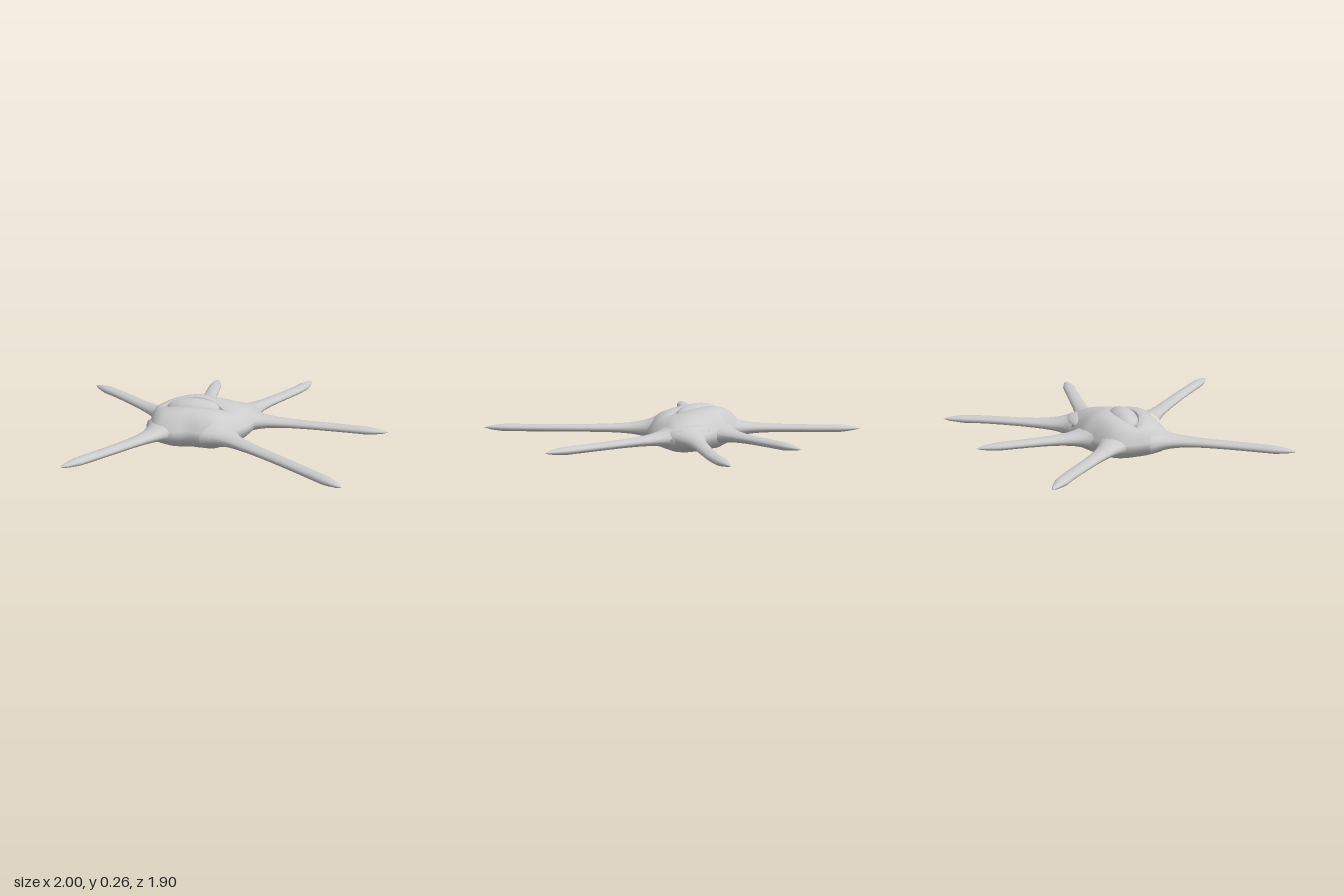
import * as THREE from 'three';

const V = (x, y, z) => new THREE.Vector3(x, y, z);
const material = new THREE.MeshStandardMaterial({ color: 0xcccccc });

// Skin a list of closed rings (equal point counts) into one smooth surface
function loft(rings) {
  const n = rings[0].length, index = [];
  for (let i = 0; i < rings.length - 1; i++) {
    for (let j = 0; j < n; j++) {
      const a = i * n + j, b = i * n + (j + 1) % n;
      index.push(a, a + n, b, b, a + n, b + n);
    }
  }
  const geometry = new THREE.BufferGeometry().setFromPoints(rings.flat());
  geometry.setIndex(index);
  geometry.computeVertexNormals();
  return geometry;
}

function addMesh(group, name, geometry) {
  const mesh = new THREE.Mesh(geometry, material);
  mesh.name = name;
  group.add(mesh);
  return mesh;
}

// Flattened dome whose top closes in on an almond-shaped eye opening
function bodyGeometry() {
  const outline = new THREE.CatmullRomCurve3([
    [0.18, 0], [0.15, 0.1], [0.07, 0.22], [0, 0.3], [-0.1, 0.3], [-0.2, 0.285], [-0.3, 0.3],
    [-0.4, 0.28], [-0.45, 0.2], [-0.47, 0.08], [-0.47, -0.05], [-0.42, -0.13], [-0.35, -0.17],
    [-0.27, -0.21], [-0.2, -0.25], [-0.12, -0.25], [-0.04, -0.25], [0.05, -0.26], [0.15, -0.24],
    [0.2, -0.17], [0.19, -0.06],
  ].map(([x, z]) => V(x, 0.1, z)), true);
  const edge = outline.getPoints(84).slice(0, 84);

  // underside: scale of the outline and height
  const rings = [[0, 0.005], [0.45, 0.003], [0.72, 0.012], [0.86, 0.035], [0.95, 0.065]].map(([s, y]) =>
    edge.map(p => V(-0.14 + (p.x + 0.14) * s, y, 0.03 + (p.z - 0.03) * s)));

  // eyelid rim, pointed at both corners and raised along the back
  const rim = edge.map(p => {
    const a = Math.atan2(p.z - 0.06, p.x + 0.2), s2 = Math.sin(a) ** 2, back = Math.sin(a) < 0;
    return V(-0.2 + 0.2 * Math.cos(a), 0.205 + s2 * (back ? 0.047 : 0.032), 0.06 + s2 * (back ? -0.1 : 0.065));
  });
  for (const t of [0, 0.07, 0.15, 0.25, 0.37, 0.5, 0.65, 0.82, 1]) {
    const rise = 1 - (1 - t) ** 2.7;
    rings.push(edge.map((p, j) => {
      const q = p.clone().lerp(rim[j], t);
      q.y = 0.1 + (rim[j].y - 0.1) * rise;
      return q;
    }));
  }
  // eye socket
  for (const [s, drop] of [[0.96, 0.01], [0.9, 0.045], [0, 0.06]]) {
    rings.push(rim.map(p => V(-0.2 + (p.x + 0.2) * s, p.y - drop, 0.045 + (p.z - 0.045) * s)));
  }
  return loft(rings);
}

// Slender arm: flared where it leaves the body, flattened, rounded at the tip
function armGeometry(points) {
  const curve = new THREE.CatmullRomCurve3(points.map(([x, z]) => V(x, 0.1, z)));
  const length = curve.getLength(), up = V(0, 1, 0), rings = [];
  const stations = 26, sides = 16;
  for (let i = 0; i <= stations; i++) {
    const u = i / stations, d = u * length;
    const tip = Math.min(1, (length - d) / 0.13) ** 0.6;
    const w = (0.049 - 0.012 * u + 0.1 * Math.exp(-d / 0.085)) * tip;
    const h = (0.023 + 0.055 * Math.exp(-d / 0.11)) * tip;
    const center = curve.getPointAt(u);
    const side = curve.getTangentAt(u).cross(up).normalize();
    rings.push(Array.from({ length: sides }, (_, j) => {
      const a = j / sides * Math.PI * 2;
      return center.clone().addScaledVector(side, w * Math.cos(a)).addScaledVector(up, h * Math.sin(a));
    }));
  }
  return loft(rings);
}

export function createModel() {
  const model = new THREE.Group();
  model.name = 'starCreature';

  addMesh(model, 'body', bodyGeometry());

  // lens-shaped eye set in the socket
  const eye = addMesh(model, 'eyeball', new THREE.SphereGeometry(1, 40, 24));
  eye.scale.set(0.165, 0.062, 0.082);
  eye.position.set(-0.2, 0.2, 0.04);

  // low fold of skin overhanging the back edge
  const fold = addMesh(model, 'backFold', new THREE.SphereGeometry(1, 32, 16));
  fold.scale.set(0.13, 0.045, 0.085);
  fold.position.set(0.03, 0.135, -0.17);

  const arms = {
    frontLeftArm: [[-0.01, 0.22], [0.12, 0.34], [0.43, 0.605], [0.81, 0.95]],
    frontRightArm: [[-0.35, 0.19], [-0.45, 0.38], [-0.6, 0.62], [-0.8, 0.92]],
    rightArm: [[-0.36, -0.05], [-0.53, -0.2], [-0.83, -0.475], [-1, -0.61]],
    backRightArm: [[-0.19, -0.16], [-0.195, -0.4], [-0.205, -0.7], [-0.21, -0.87]],
    backLeftArm: [[0.07, -0.19], [0.155, -0.38], [0.35, -0.75], [0.42, -0.955]],
    leftArm: [[0.11, -0.09], [0.35, -0.07], [0.7, -0.035], [1, 0]],
  };
  for (const [name, points] of Object.entries(arms)) addMesh(model, name, armGeometry(points));

  return model;
}
